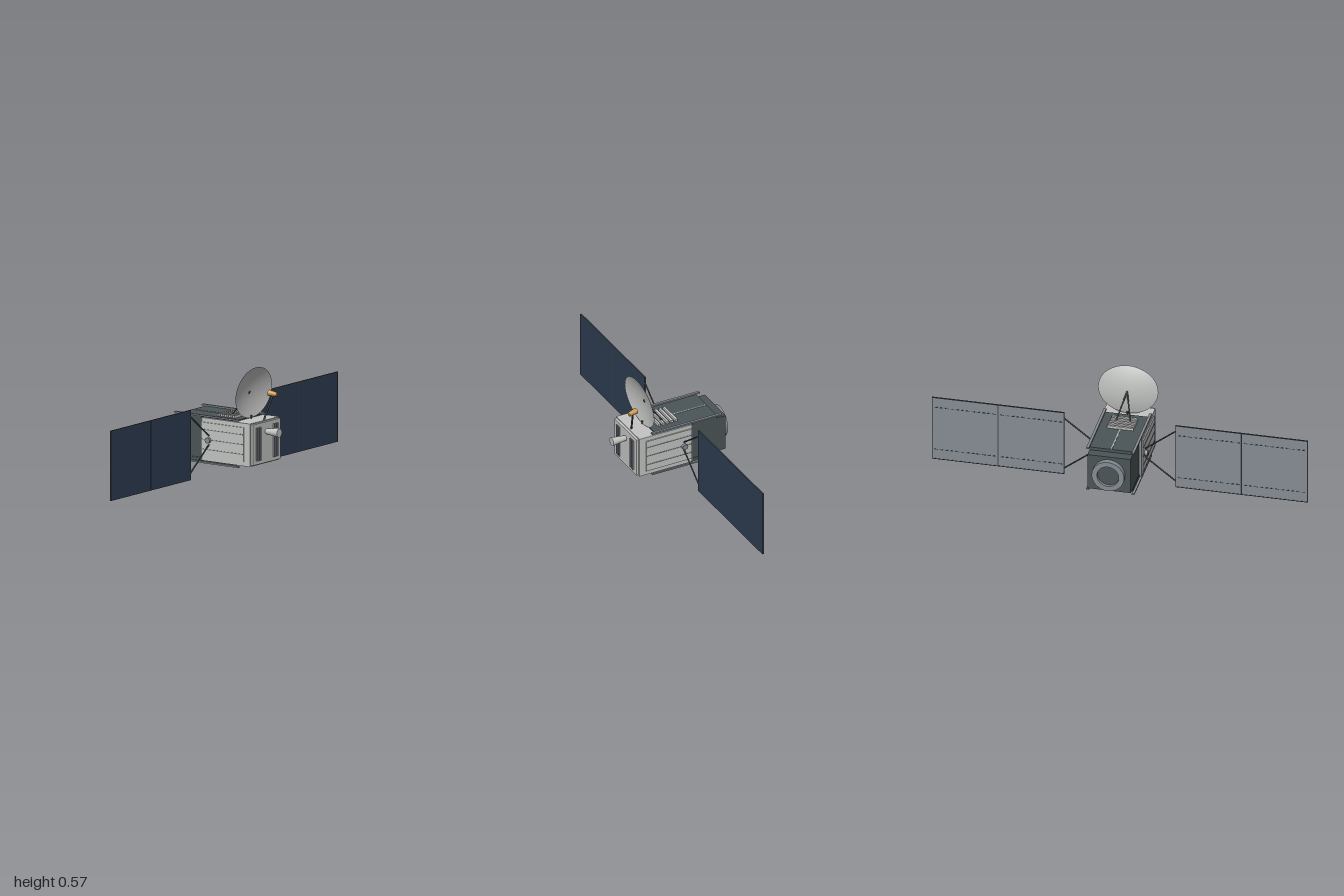
import * as THREE from 'three';

const mat = (name, color, side = THREE.FrontSide) => {
  const m = new THREE.MeshStandardMaterial({ color, side });
  m.name = name;
  return m;
};

export function createModel() {
  const light = mat('light grey hull', 0xc2c4c2);
  const dishMat = mat('dish grey', 0xbcbebc, THREE.DoubleSide);
  const dark = mat('dark slate', 0x4a5456);
  const grey = mat('blue grey metal', 0x858b94);
  const navy = mat('navy solar cells', 0x2d3b52);
  const gold = mat('gold', 0xc8964a);
  const strutMat = mat('dark strut', 0x3c4446);

  const root = new THREE.Group();
  root.name = 'satellite';
  const CY = 0.186;

  const add = (name, geo, m, x = 0, y = 0, z = 0, parent = root) => {
    const mesh = new THREE.Mesh(geo, m);
    mesh.name = name;
    mesh.position.set(x, y, z);
    parent.add(mesh);
    return mesh;
  };
  // box given by its limits on each axis
  const box = (name, m, x0, x1, y0, y1, z0, z1, parent = root) =>
    add(name, new THREE.BoxGeometry(x1 - x0, y1 - y0, z1 - z0), m,
      (x0 + x1) / 2, (y0 + y1) / 2, (z0 + z1) / 2, parent);
  // tapered rod from point a to point b
  const rod = (name, m, a, b, ra, rb = ra, sides = 8, parent = root) => {
    const A = new THREE.Vector3(...a), B = new THREE.Vector3(...b);
    const d = B.clone().sub(A);
    const mesh = add(name, new THREE.CylinderGeometry(rb, ra, d.length(), sides), m, 0, 0, 0, parent);
    mesh.position.copy(A).add(B).multiplyScalar(0.5);
    mesh.quaternion.setFromUnitVectors(new THREE.Vector3(0, 1, 0), d.normalize());
    return mesh;
  };

  // hull
  box('hull', light, -0.128, 0.128, 0.073, 0.3, -0.08, 0.224);
  box('collar', grey, -0.128, 0.128, 0.073, 0.3, -0.091, -0.08);
  box('rearSection', dark, -0.115, 0.115, 0.086, 0.288, -0.29, -0.091);
  box('frontPlate', light, -0.12, 0.12, 0.08, 0.295, 0.224, 0.238);
  for (const x of [0.06, 0.075, 0.09])
    for (const s of [-1, 1])
      box('frontRib', grey, s * x - 0.003, s * x + 0.003, 0.1, 0.275, 0.238, 0.245);

  // rear ring with recessed disc
  const ringShape = new THREE.Shape().absarc(0, 0, 0.086, 0, Math.PI * 2);
  ringShape.holes.push(new THREE.Path().absarc(0, 0, 0.058, 0, Math.PI * 2, true));
  add('rearRing', new THREE.ExtrudeGeometry(ringShape, { depth: 0.03, bevelEnabled: false, curveSegments: 32 }),
    grey, 0, CY, -0.319);
  add('rearDisc', new THREE.CylinderGeometry(0.06, 0.06, 0.012, 32).rotateX(Math.PI / 2), dark, 0, CY, -0.296);

  // front thruster
  rod('thruster', light, [0, 0.243, 0.238], [0, 0.243, 0.319], 0.014, 0.023, 24);

  // side panels with seam lines
  for (const s of [-1, 1]) {
    const side = new THREE.Group();
    side.name = s > 0 ? 'leftSide' : 'rightSide';
    root.add(side);
    add('sidePanel', new THREE.BoxGeometry(0.008, 0.18, 0.27), light, s * 0.13, 0.187, 0.052, side);
    for (const y of [0.135, 0.187, 0.239])
      add('sideSeam', new THREE.BoxGeometry(0.003, 0.004, 0.262), grey, s * 0.1345, y, 0.052, side);
  }

  // deck on the top, mirrored on the underside
  for (const s of [1, -1]) {
    const deck = new THREE.Group();
    deck.name = s > 0 ? 'topDeck' : 'bottomDeck';
    deck.position.y = CY;
    root.add(deck);
    const slab = (name, m, w, h, d, x, y, z) =>
      add(name, new THREE.BoxGeometry(w, h, d), m, x, s * y, z, deck);
    slab('deckPlate', dark, 0.232, 0.018, 0.365, 0, 0.11, -0.057);
    for (const x of [-0.121, 0.121]) slab('deckRail', grey, 0.014, 0.008, 0.41, x, 0.123, -0.057);
    slab('deckSeam', light, 0.006, 0.003, 0.21, 0, 0.1195, -0.135);
    for (let i = 0; i < 5; i++)
      slab('louvre', light, 0.14, 0.014, 0.012, 0, 0.125, 0.075 - i * 0.025);
  }

  // dish antenna
  const profile = [];
  for (let i = 0; i <= 12; i++) {
    const t = i / 12;
    profile.push(new THREE.Vector2(0.16 * t, 0.028 * (t * t - 1)));
  }
  const dishGeo = new THREE.LatheGeometry(profile, 48).rotateX(Math.PI / 2).scale(1, 0.843, 1);
  const dish = add('dish', dishGeo, dishMat, 0, 0.439, 0.155);
  dish.rotation.x = 0.111;
  add('dishCentre', new THREE.SphereGeometry(0.005, 10, 8), strutMat, 0, 0.44, 0.129);
  for (const s of [-1, 1])
    rod('dishStrut', strutMat, [s * 0.04, 0.305, 0.036], [0, 0.441, 0.13], 0.004);
  rod('dishFoot', strutMat, [0, 0.3, 0.138], [0, 0.318, 0.14], 0.005);

  // feed horn on its mast
  rod('feedMast', strutMat, [0.012, 0.295, 0.21], [0.066, 0.425, 0.229], 0.005);
  rod('feedHorn', gold, [0.068, 0.428, 0.254], [0.061, 0.434, 0.207], 0.011, 0.0165, 24);

  // solar wings
  for (const s of [-1, 1]) {
    const wing = new THREE.Group();
    wing.name = s > 0 ? 'leftWing' : 'rightWing';
    wing.position.z = -0.036;
    root.add(wing);
    const plate = (name, m, w, h, d, x, y, z) =>
      add(name, new THREE.BoxGeometry(w, h, d), m, s * x, y, z, wing);
    for (const x of [0.472, 0.823]) {
      plate('solarCells', navy, 0.347, 0.362, 0.003, x, CY, 0.002);
      plate('panelBack', grey, 0.347, 0.362, 0.003, x, CY, -0.001);
      for (const y of [0.003, 0.369]) plate('panelEdge', strutMat, 0.35, 0.004, 0.007, x, y, 0);
      // dashed lines on the back
      for (const y of [0.06, 0.312])
        for (let i = 0; i < 12; i++)
          plate('backDash', strutMat, 0.018, 0.004, 0.002, x - 0.154 + i * 0.028, y, -0.003);
    }
    for (const x of [0.297, 0.648, 0.998]) plate('panelPost', strutMat, 0.004, 0.368, 0.008, x, CY, 0);
    // hub and spread arms
    add('hub', new THREE.CylinderGeometry(0.016, 0.016, 0.026, 8).rotateZ(Math.PI / 2), grey,
      s * 0.136, CY, 0, wing);
    for (const k of [-1, 1])
      rod('wingArm', strutMat, [s * 0.125, CY + k * 0.018, 0], [s * 0.297, CY + k * 0.15, 0], 0.004, 0.004, 8, wing);
  }
  return root;
}
